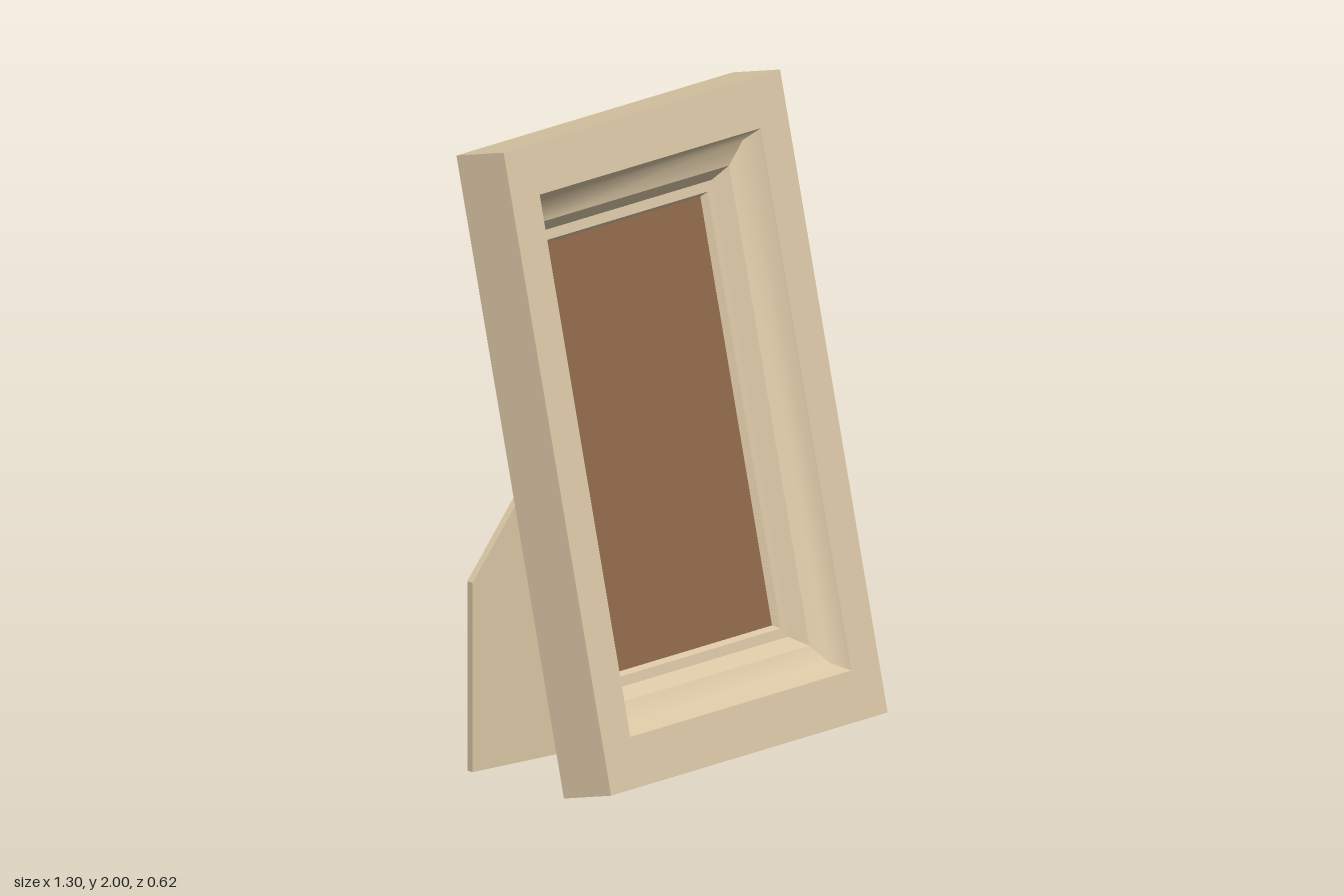
import * as THREE from 'three';

const WIDTH = 1.3, HEIGHT = 2.004, DEPTH = 0.194;
const OPEN_X = 0.52, OPEN_Y = 0.845, MID_Y = HEIGHT / 2;
const Y_STRETCH = 1.21; // mouldings are a little wider along top and bottom

// Moulding profile as runs of [inset, depth]; each run is smooth, runs meet at sharp edges
const RUNS = [
  [[0, 0], [0.025, 0.06], [0.08, 0.082]],
  [[0.08, 0.082], [0.11, 0.136]],
  [[0.11, 0.136], [0.136, 0.136]],
  [[0.136, 0.136], [0.147, 0.162]],
];
const CORNERS = [[-1, -1], [1, -1], [1, 1], [-1, 1]];

function polygon(points) {
  return new THREE.Shape(points.map(([x, y]) => new THREE.Vector2(x, y)));
}

// One mitred strip of moulding between two neighbouring corners
function mouldingStrip(run, a, b) {
  const positions = [], index = [];
  run.forEach(([inset, depth], i) => {
    for (const [sx, sy] of [a, b]) {
      positions.push(sx * (OPEN_X - inset), MID_Y + sy * (OPEN_Y - inset * Y_STRETCH), DEPTH - depth);
    }
    if (i > 0) {
      const o = (i - 1) * 2;
      index.push(o, o + 1, o + 3, o, o + 3, o + 2);
    }
  });
  const geometry = new THREE.BufferGeometry();
  geometry.setAttribute('position', new THREE.Float32BufferAttribute(positions, 3));
  geometry.setIndex(index);
  geometry.computeVertexNormals();
  return geometry;
}

export function createModel() {
  const paleWood = new THREE.MeshStandardMaterial({ color: 0xdcc8a6 });
  paleWood.name = 'paleWood';
  const brownBoard = new THREE.MeshStandardMaterial({ color: 0x8f694b });
  brownBoard.name = 'brownBoard';

  const model = new THREE.Group();
  model.name = 'standingPictureFrame';

  function add(parent, name, geometry, material) {
    const mesh = new THREE.Mesh(geometry, material);
    mesh.name = name;
    parent.add(mesh);
    return mesh;
  }

  // Frame assembly leans back, pivoting on its lower back edge
  const frame = new THREE.Group();
  frame.name = 'leaningFrame';
  frame.rotation.x = -0.217;
  frame.position.z = 0.121;
  model.add(frame);

  // Outer border with a rectangular opening
  const border = polygon(CORNERS.map(([sx, sy]) => [sx * WIDTH / 2, MID_Y + sy * HEIGHT / 2]));
  border.holes.push(polygon(CORNERS.map(([sx, sy]) => [sx * OPEN_X, MID_Y + sy * OPEN_Y]).reverse()));
  add(frame, 'border', new THREE.ExtrudeGeometry(border, { depth: DEPTH, bevelEnabled: false }), paleWood);

  // Stepped, coved moulding on all four sides
  const moulding = new THREE.Group();
  moulding.name = 'moulding';
  frame.add(moulding);
  CORNERS.forEach((corner, k) => {
    const next = CORNERS[(k + 1) % 4];
    for (const run of RUNS) add(moulding, 'mouldingStrip', mouldingStrip(run, corner, next), paleWood);
  });

  // Backing board, proud of the frame's back
  const board = add(frame, 'backingBoard', new THREE.BoxGeometry(OPEN_X * 2, OPEN_Y * 2, 0.05), brownBoard);
  board.position.set(0, MID_Y, DEPTH - 0.185);

  // Easel leg: upright plate hinged along its slanted top edge and swung open
  const leg = polygon([[0, 1.395], [-0.62, 0.606], [-0.62, 0.008], [-0.274, 0.008], [0.243, 1.2]]);
  const stand = add(model, 'easelLeg', new THREE.ExtrudeGeometry(leg, { depth: 0.025, bevelEnabled: false }), paleWood);
  stand.rotation.y = -0.168;
  stand.position.z = -0.196;

  return model;
}
